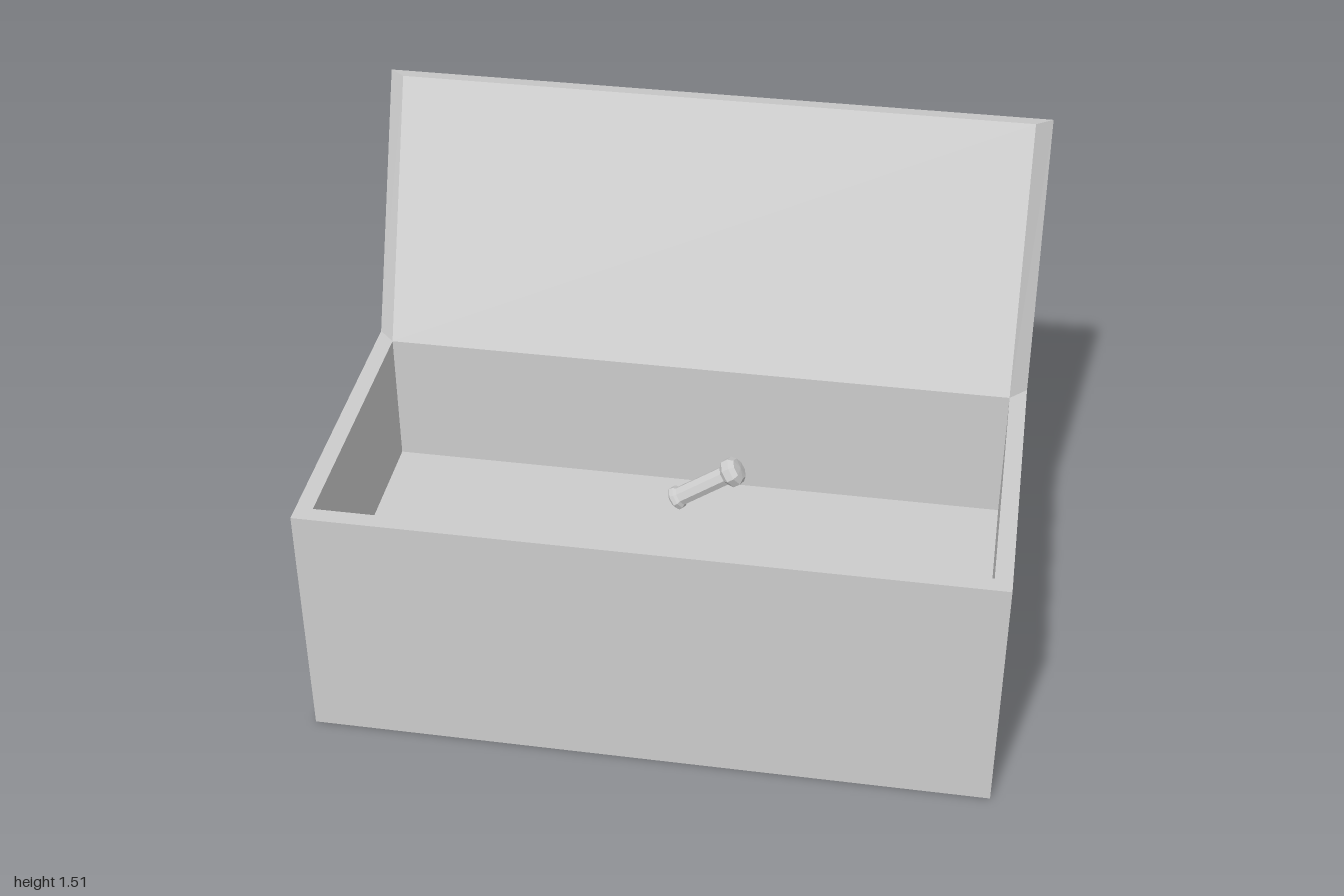
import * as THREE from 'three';

const material = new THREE.MeshStandardMaterial({ color: 0xcccccc, flatShading: true });

function addMesh(parent, name, geometry) {
  const mesh = new THREE.Mesh(geometry, material);
  mesh.name = name;
  parent.add(mesh);
  return mesh;
}

const HEIGHT = 0.77, FLOOR = 0.345, WALL = 0.05, BACK = -0.31, FRONT = 0.645;

// Rectangle from corner to corner, drawn in plan
function rectangle(path, x, a, b) {
  path.moveTo(-x, a);
  path.lineTo(x, a);
  path.lineTo(x, b);
  path.lineTo(-x, b);
  path.closePath();
  return path;
}

// Four walls with an open middle, extruded upwards
function wallsGeometry() {
  const shape = rectangle(new THREE.Shape(), 1, -FRONT, -BACK);
  shape.holes.push(rectangle(new THREE.Path(), 1 - WALL, -FRONT + WALL, -BACK - WALL));
  const geometry = new THREE.ExtrudeGeometry(shape, { depth: HEIGHT, bevelEnabled: false });
  return geometry.rotateX(-Math.PI / 2);
}

// Slab leaning back from the hinge, its front face narrower than its back
function lidGeometry() {
  const geometry = new THREE.BoxGeometry(2, 2, 2).toNonIndexed();
  const p = geometry.attributes.position;
  for (let i = 0; i < p.count; i++) {
    const top = p.getY(i) > 0, front = p.getZ(i) > 0;
    const y = top ? (front ? 1.515 : 1.507) : HEIGHT;
    const z = (top ? -0.643 : BACK) + (front ? WALL : 0);
    p.setXYZ(i, p.getX(i) * (front ? 1 - WALL : 1), y, z);
  }
  geometry.computeVertexNormals();
  return geometry;
}

// Eight-sided handle with a collar at the foot and a flared, domed head
function handleGeometry() {
  const profile = [
    [0, 0], [0.027, 0], [0.036, 0.008], [0.036, 0.02], [0.029, 0.028],
    [0.029, 0.185], [0.044, 0.2], [0.044, 0.222], [0.032, 0.236], [0, 0.24],
  ].map(([r, y]) => new THREE.Vector2(r, y));
  return new THREE.LatheGeometry(profile, 8);
}

export function createModel() {
  const model = new THREE.Group();
  model.name = 'openChest';

  const body = new THREE.Group();
  body.name = 'body';
  model.add(body);
  addMesh(body, 'walls', wallsGeometry());
  const floor = addMesh(body, 'floor',
    new THREE.BoxGeometry(2 - 2 * WALL, FLOOR, FRONT - BACK - 2 * WALL));
  floor.position.set(0, FLOOR / 2, (FRONT + BACK) / 2);

  addMesh(model, 'lid', lidGeometry());

  // Small tilted handle inside the opening
  const handle = addMesh(model, 'handle', handleGeometry());
  handle.position.set(0.004, 0.604, 0.177);
  handle.rotation.z = -THREE.MathUtils.degToRad(55);

  return model;
}
